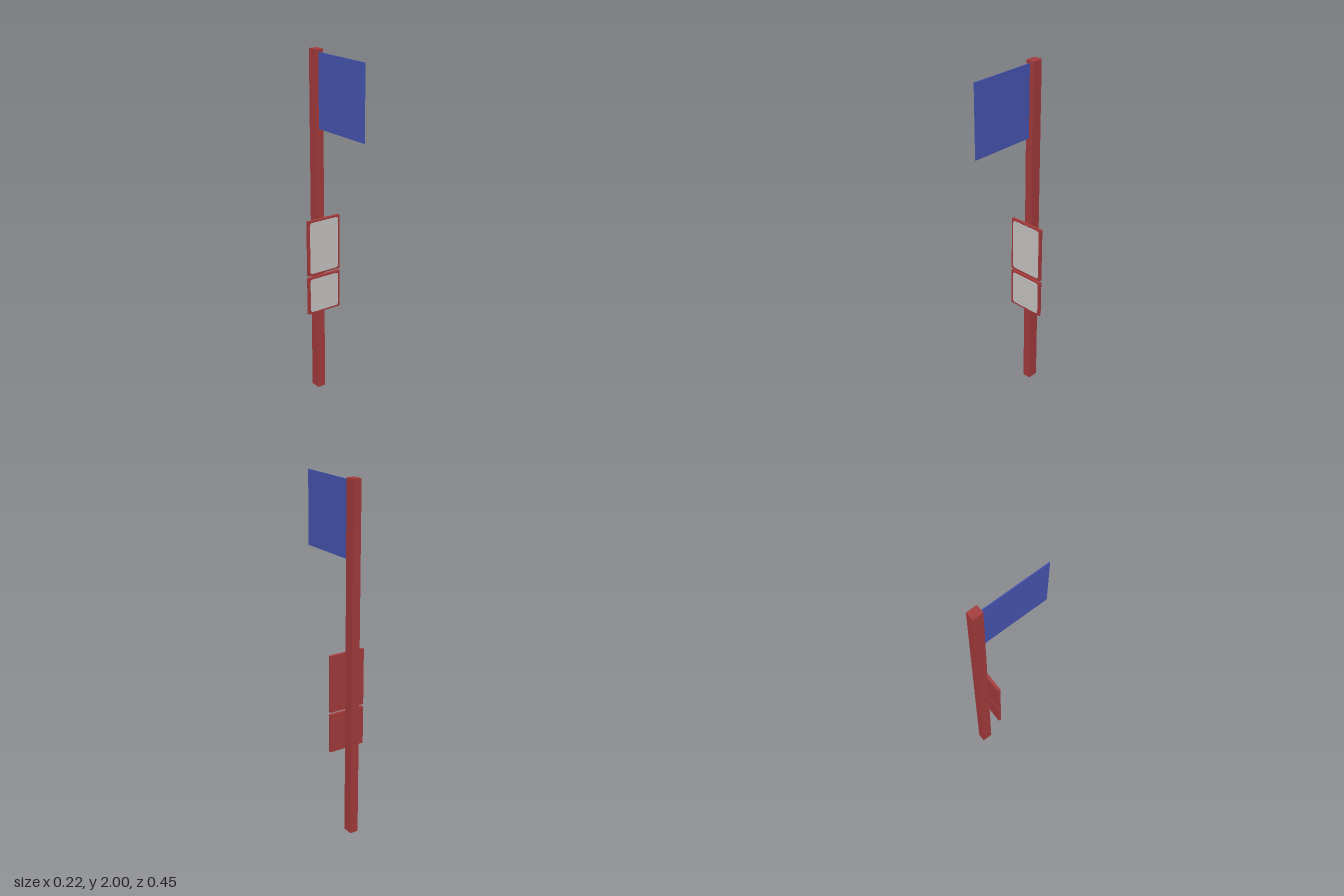
import * as THREE from 'three';

const paint = (name, color) => {
  const m = new THREE.MeshStandardMaterial({ color });
  m.name = name;
  return m;
};

export function createModel() {
  const red = paint('red', 0xa83c3d);
  const blue = paint('blue', 0x4857b5);
  const grey = paint('light grey', 0xcbc9c7);
  const model = new THREE.Group();
  model.name = 'flagSignPost';

  // Box given by its minimum and maximum corners
  const box = (name, material, [x0, y0, z0], [x1, y1, z1], parent = model) => {
    const mesh = new THREE.Mesh(new THREE.BoxGeometry(x1 - x0, y1 - y0, z1 - z0), material);
    mesh.position.set((x0 + x1) / 2, (y0 + y1) / 2, (z0 + z1) / 2);
    mesh.name = name;
    parent.add(mesh);
  };

  // Rounded rectangle outline centred on the origin
  const roundedRect = (w, h, r) => {
    const s = new THREE.Shape();
    s.absarc(w / 2 - r, h / 2 - r, r, 0, Math.PI / 2);
    s.absarc(-w / 2 + r, h / 2 - r, r, Math.PI / 2, Math.PI);
    s.absarc(-w / 2 + r, -h / 2 + r, r, Math.PI, Math.PI * 1.5);
    s.absarc(w / 2 - r, -h / 2 + r, r, Math.PI * 1.5, Math.PI * 2);
    return s;
  };

  // Square post and the flag on its front face
  box('post', red, [-0.03, 0, -0.227], [0.018, 2, -0.166]);
  box('flag', blue, [-0.0125, 1.573, -0.166], [-0.0075, 1.985, 0.227]);

  // Two sign boards, each with a pale rounded face
  const addSign = (name, y0, y1) => {
    const sign = new THREE.Group();
    sign.name = name;
    box('board', red, [-0.108, y0, -0.158], [0.108, y1, -0.141], sign);
    const face = new THREE.Mesh(new THREE.ExtrudeGeometry(
      roundedRect(0.192, y1 - y0 - 0.02, 0.016),
      { depth: 0.002, bevelEnabled: false, curveSegments: 6 }), grey);
    face.position.set(0, (y0 + y1) / 2, -0.142);
    face.name = 'signFace';
    sign.add(face);
    model.add(sign);
  };
  addSign('upperSign', 0.742, 1.067);
  addSign('lowerSign', 0.506, 0.728);

  return model;
}
